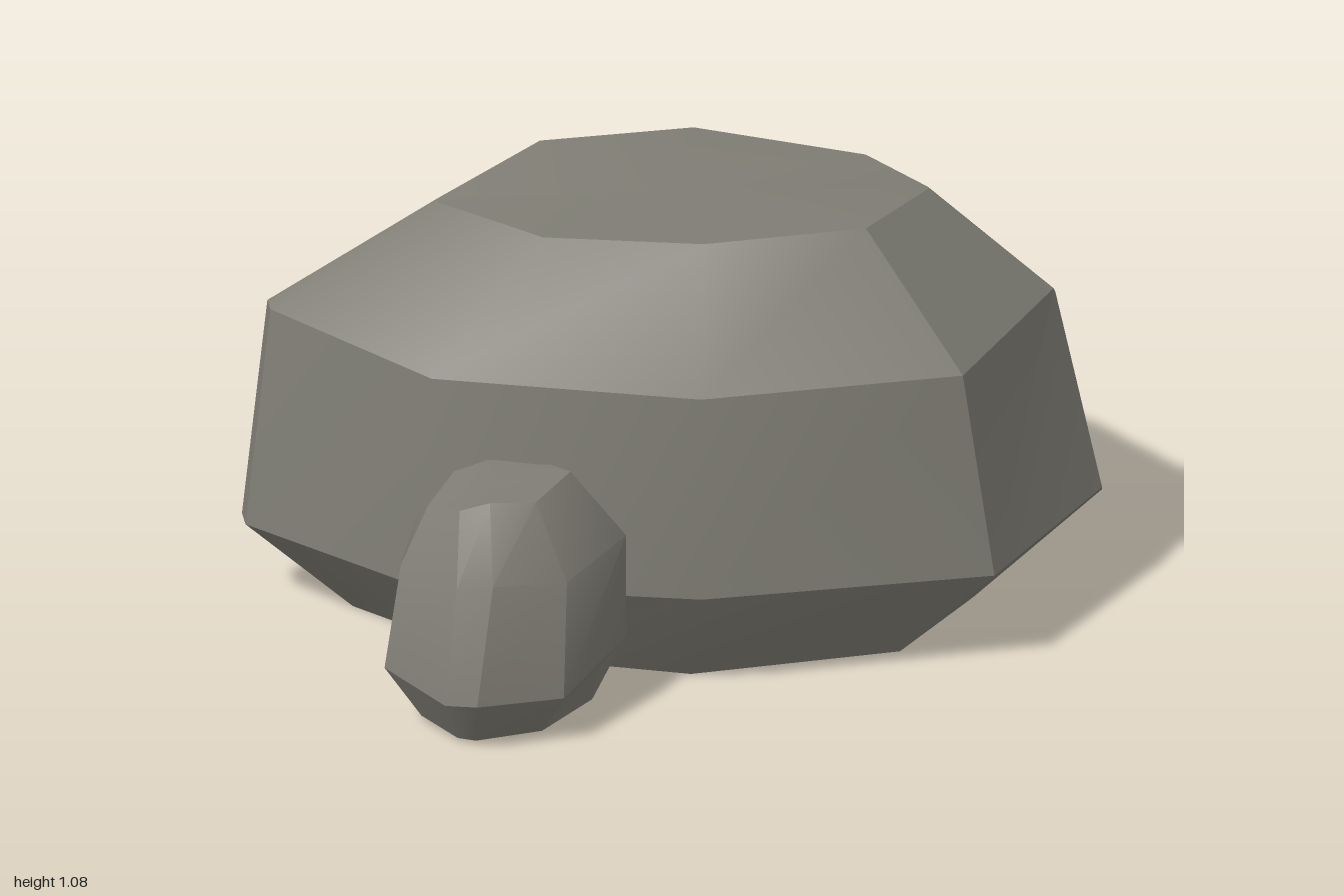
import * as THREE from 'three';
import { toCreasedNormals } from 'three/addons/utils/BufferGeometryUtils.js';

// Skins a stack of [x, y, z] rings (bottom to top, clockwise from above) and caps both ends.
function rockGeometry(rings, bottom, top) {
  const pos = [];
  const tri = (...pts) => pts.forEach((p) => pos.push(...p));
  const n = rings[0].length;
  for (let i = 0; i < n; i++) {
    const j = (i + 1) % n;
    for (let r = 0; r < rings.length - 1; r++) {
      const a = rings[r], b = rings[r + 1];
      tri(a[j], a[i], b[i]);
      tri(a[j], b[i], b[j]);
    }
    const last = rings[rings.length - 1];
    tri(bottom, rings[0][i], rings[0][j]);
    tri(top, last[j], last[i]);
  }
  const geo = new THREE.BufferGeometry();
  geo.setAttribute('position', new THREE.Float32BufferAttribute(pos, 3));
  return toCreasedNormals(geo, 0.55);
}

export function createModel() {
  const group = new THREE.Group();
  group.name = 'rocks';
  const stone = new THREE.MeshStandardMaterial({ color: 0x807e75 });
  stone.name = 'grey stone';

  const add = (name, geometry) => {
    const mesh = new THREE.Mesh(geometry, stone);
    mesh.name = name;
    group.add(mesh);
  };

  // Large boulder: foot, widest ring, shoulder, crown
  add('largeBoulder', rockGeometry([
    [[-0.75, 0, -0.16], [-0.43, 0, -0.43], [0.1, 0, -0.58], [0.55, 0, -0.33], [0.7, 0, 0],
      [0.69, 0, 0.04], [0.48, 0, 0.3], [-0.02, 0, 0.35], [-0.48, 0, 0.18], [-0.75, 0, -0.12]],
    [[-1, 0.22, -0.2], [-0.55, 0.23, -0.55], [0.12, 0.23, -0.74], [0.74, 0.21, -0.42], [1, 0.24, 0],
      [0.99, 0.28, 0.07], [0.68, 0.26, 0.46], [-0.02, 0.28, 0.53], [-0.66, 0.24, 0.28], [-1, 0.22, -0.14]],
    [[-0.94, 0.77, -0.2], [-0.54, 0.76, -0.51], [0.08, 0.74, -0.7], [0.65, 0.73, -0.39], [0.89, 0.76, 0],
      [0.88, 0.79, 0.04], [0.61, 0.77, 0.43], [-0.02, 0.79, 0.51], [-0.62, 0.77, 0.27], [-0.94, 0.77, -0.15]],
    [[-0.55, 1.04, -0.13], [-0.28, 1.08, -0.32], [0.1, 1.03, -0.44], [0.48, 1.02, -0.26], [0.59, 1.05, -0.01],
      [0.59, 1.055, 0.01], [0.41, 1.07, 0.23], [0.02, 1.08, 0.28], [-0.34, 1.06, 0.15], [-0.55, 1.04, -0.11]],
  ], [0, 0, -0.1], [0, 1.05, -0.08]));

  // Small boulder leaning on the front right of the large one
  add('smallBoulder', rockGeometry([
    [[-0.68, 0.02, 0.52], [-0.64, 0.02, 0.33], [-0.46, 0.01, 0.28], [-0.33, 0.01, 0.34],
      [-0.27, 0.01, 0.47], [-0.41, 0.01, 0.62], [-0.57, 0.01, 0.65], [-0.61, 0.01, 0.63]],
    [[-0.77, 0.16, 0.54], [-0.7, 0.17, 0.27], [-0.46, 0.17, 0.2], [-0.26, 0.17, 0.3],
      [-0.19, 0.17, 0.47], [-0.37, 0.13, 0.7], [-0.58, 0.14, 0.74], [-0.65, 0.13, 0.7]],
    [[-0.73, 0.42, 0.53], [-0.66, 0.43, 0.29], [-0.47, 0.43, 0.22], [-0.27, 0.43, 0.3],
      [-0.19, 0.43, 0.47], [-0.36, 0.42, 0.68], [-0.54, 0.44, 0.72], [-0.62, 0.42, 0.68]],
    [[-0.66, 0.55, 0.49], [-0.58, 0.57, 0.36], [-0.48, 0.58, 0.32], [-0.37, 0.58, 0.36],
      [-0.32, 0.6, 0.46], [-0.42, 0.59, 0.59], [-0.53, 0.6, 0.6], [-0.6, 0.58, 0.59]],
  ], [-0.48, 0, 0.47], [-0.49, 0.59, 0.47]));

  return group;
}
